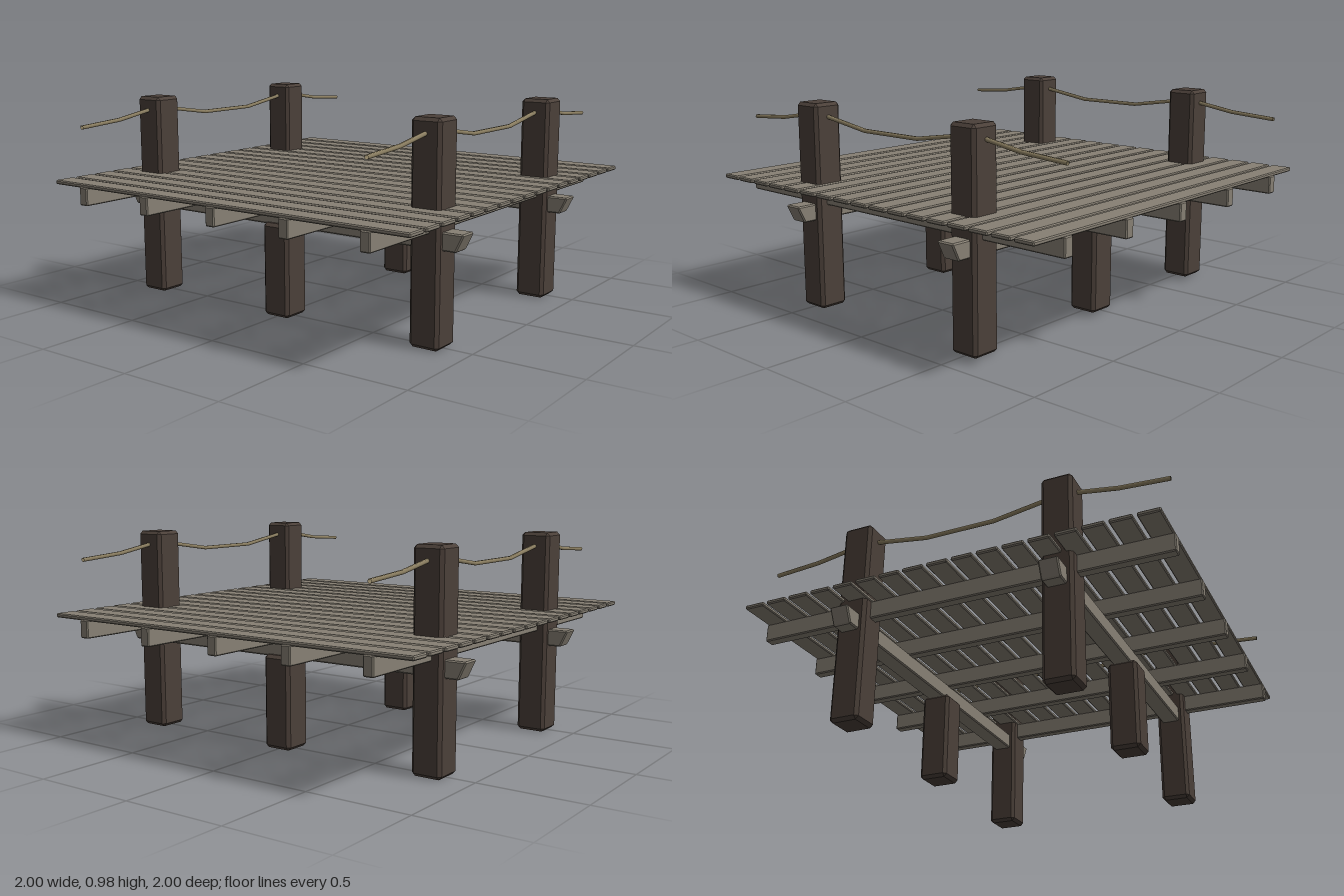
import * as THREE from 'three';
import { ConvexGeometry } from 'three/addons/geometries/ConvexGeometry.js';

const postWood = new THREE.MeshStandardMaterial({ color: 0x4b4039, name: 'darkPostWood' });
const deckWood = new THREE.MeshStandardMaterial({ color: 0x878074, name: 'weatheredDeckWood' });
const ropeFibre = new THREE.MeshStandardMaterial({ color: 0x8e8163, name: 'ropeFibre', side: THREE.DoubleSide });

// Box with chamfered edges; shape(p) may move the corners
function chamferBox(w, h, d, c, shape = () => {}) {
  const points = [];
  for (const sx of [-1, 1]) for (const sy of [-1, 1]) for (const sz of [-1, 1]) {
    for (let axis = 0; axis < 3; axis++) {
      const inset = [c, c, c];
      inset[axis] = 0;
      const p = new THREE.Vector3(
        sx * (w / 2 - inset[0]), sy * (h / 2 - inset[1]), sz * (d / 2 - inset[2]));
      shape(p);
      points.push(p);
    }
  }
  return new ConvexGeometry(points);
}

// Curve that passes straight from point to point
class Polyline extends THREE.Curve {
  constructor(points) {
    super();
    this.points = points;
  }
  getPointAt(u, target = new THREE.Vector3()) {
    return target.copy(this.points[Math.round(u * (this.points.length - 1))]);
  }
  getTangentAt(u, target = new THREE.Vector3()) {
    const n = this.points.length - 1, i = Math.round(u * n);
    return target.subVectors(this.points[Math.min(i + 1, n)], this.points[Math.max(i - 1, 0)]).normalize();
  }
}

export function createModel() {
  const model = new THREE.Group();
  model.name = 'dock';

  const add = (name, geometry, material, x, y, z) => {
    const mesh = new THREE.Mesh(geometry, material);
    mesh.name = name;
    mesh.position.set(x, y, z);
    model.add(mesh);
  };

  // Deck planks, running front to back
  const plank = chamferBox(0.1, 0.02, 2, 0.005);
  for (let i = 0; i < 17; i++) add('plank', plank, deckWood, (i - 8) * 0.118, 0.594, 0);

  // Joists across the deck
  const joist = chamferBox(2, 0.087, 0.05, 0.005);
  for (let i = -2; i <= 2; i++) add('joist', joist, deckWood, 0, 0.545, i * 0.4);

  // Main beams with ends sloping in towards the bottom
  const beam = chamferBox(0.09, 0.08, 1.94, 0.006, (p) => {
    if (p.y < 0) p.z -= Math.sign(p.z) * 0.033;
  });

  // Tall corner posts and short middle posts
  const tallPost = chamferBox(0.145, 0.98, 0.145, 0.015);
  const shortPost = chamferBox(0.145, 0.44, 0.145, 0.015);
  for (const x of [-0.5, 0.5]) {
    add('beam', beam, deckWood, x, 0.47, 0);
    add('middlePost', shortPost, postWood, x, 0.22, 0);
    for (const z of [-0.8, 0.8]) add('cornerPost', tallPost, postWood, x, 0.49, z);
  }

  // Sagging rope rails
  const half = [[0.17, 0.875], [0.43, 0.915], [0.5, 0.922], [0.57, 0.915], [0.76, 0.884], [0.99, 0.868]];
  const path = [...half.map(([x, y]) => [-x, y]).reverse(), ...half]
    .map(([x, y]) => new THREE.Vector3(x, y, 0));
  const rope = new THREE.TubeGeometry(new Polyline(path), path.length - 1, 0.01, 6);
  for (const z of [-0.8, 0.8]) add('ropeRail', rope, ropeFibre, 0, 0, z);

  return model;
}
